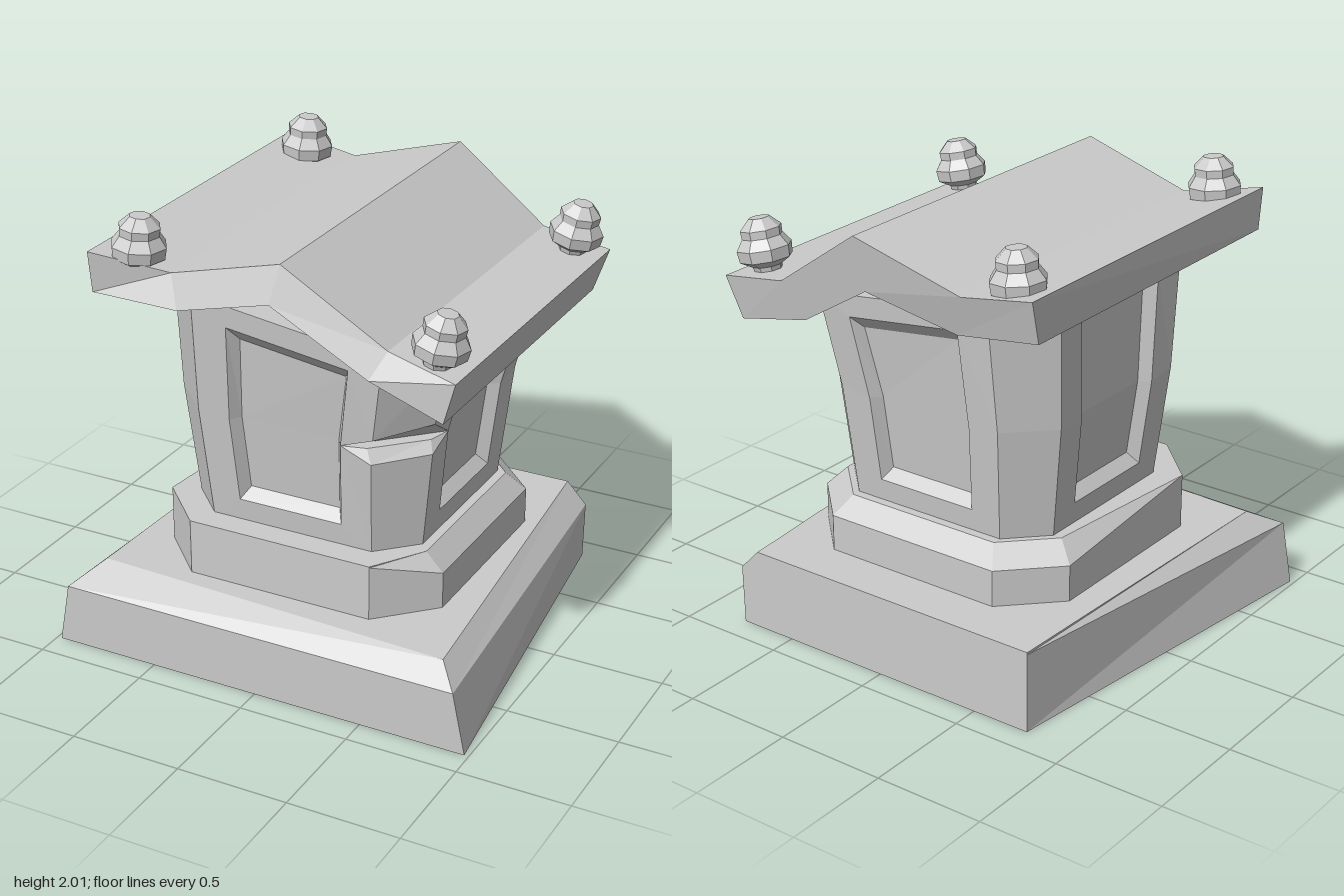
import * as THREE from 'three';

const material = new THREE.MeshStandardMaterial({ color: 0xcccccc, flatShading: true });

// Turns a list of convex polygons (corners counter-clockwise from outside) into a mesh
function polyMesh(name, polys) {
  const pos = [];
  for (const p of polys)
    for (let i = 1; i < p.length - 1; i++) pos.push(...p[0], ...p[i], ...p[i + 1]);
  const geo = new THREE.BufferGeometry();
  geo.setAttribute('position', new THREE.Float32BufferAttribute(pos, 3));
  geo.computeVertexNormals();
  const mesh = new THREE.Mesh(geo, material);
  mesh.name = name;
  return mesh;
}

// Quads joining two closed rings with the same number of points
const band = (a, b) => a.map((p, i) => {
  const j = (i + 1) % a.length;
  return [p, a[j], b[j], b[i]];
});

function loft(rings) {
  const polys = [[...rings[0]].reverse(), rings[rings.length - 1]];
  for (let i = 0; i < rings.length - 1; i++) polys.push(...band(rings[i], rings[i + 1]));
  return polys;
}

// Worn, wedge-shaped plinth
function makePlinth() {
  return polyMesh('plinth', loft([
    [[-0.98, 0, 0.88], [0.98, 0, 0.88], [0.77, 0, -0.88], [-0.77, 0, -0.88]],
    [[-0.925, 0.28, 0.885], [0.925, 0.28, 0.885], [0.775, 0.27, -0.88], [-0.77, 0.36, -0.88]],
    [[-0.82, 0.37, 0.73], [0.84, 0.37, 0.8], [0.68, 0.37, -0.88], [-0.77, 0.37, -0.88]],
  ]));
}

// Eight-sided step, its rim chamfered except along the front and one corner
function makeStep() {
  const a = 0.66, b = 0.43;
  const plan = [[-b, a], [b, a], [a, b], [a, -b], [b, -a], [-b, -a], [-a, -b], [-a, b]];
  const sharp = [0, 1, 7];
  return polyMesh('step', loft([
    plan.map(([x, z]) => [x, 0.37, z]),
    plan.map(([x, z], i) => [x, sharp.includes(i) ? 0.615 : 0.535, z]),
    plan.map(([x, z], i) => sharp.includes(i) ? [x, 0.62, z] : [x * 0.88, 0.62, z * (i === 2 ? 1 : 0.88)]),
  ]));
}

// Flared body with four recessed panels and a wedge broken out of one corner
function makeBody() {
  const polys = [];
  const shift = [0, 0, 0.04];
  const halfLength = [0.38, 0.41, 0.44];
  const topY = (x) => 1.62 - 0.13 * x;
  // Point on side f: x along the side, z outward; level 2 follows the sloping top
  const pt = (f, level, x, y, z) => {
    const c = Math.round(Math.cos(f * Math.PI / 2)), s = Math.round(Math.sin(f * Math.PI / 2));
    const wx = x * c + z * s + shift[level];
    return [wx, level === 2 ? topY(wx) + y : y, -x * s + z * c];
  };
  const order = [[0, -1], [0, 1], [1, 1], [2, 1], [2, -1], [1, -1]]; // level, side
  const outline = (f, k, ys, zs) =>
    order.map(([l, s]) => pt(f, l, s * k * halfLength[l], ys[l], zs[l]));

  // Broken corner: lower edge A-B, upper edge C-D, hinge P-Q
  const A = [0.40, 1.05, 0.588], B = [0.588, 1.06, 0.40];
  const A2 = [0.37, 1.11, 0.565], B2 = [0.565, 1.11, 0.37];
  const C = [0.415, 1.17, 0.603], D = [0.607, 1.21, 0.42];

  const sides = [0, 1, 2, 3].map((f) => {
    const low = outline(f, 1, [0.62, 1.13, 0], [0.54, 0.595, 0.65]);
    const high = [...low];
    if (f === 0) { low[2] = A; high[2] = C; }
    if (f === 1) { low[5] = B; high[5] = D; }
    const rim = outline(f, 0.64, [0.72, 1.11, -0.1], [0.551, 0.593, 0.64]);
    const panel = outline(f, 0.56, [0.77, 1.11, -0.16], [0.505, 0.543, 0.585]);
    return { low, high, rim, panel };
  });

  sides.forEach(({ low, high, rim, panel }, f) => {
    // Frame around the panel
    for (let i = 0; i < 6; i++) {
      const j = (i + 1) % 6, o = i >= 2 && i <= 4 ? high : low;
      polys.push([o[i], o[j], rim[j], rim[i]]);
    }
    // Recess walls and panel
    polys.push(...band(rim, panel));
    polys.push([panel[0], panel[1], panel[2], panel[5]], [panel[5], panel[2], panel[3], panel[4]]);
    // Corner post facet
    const n = sides[(f + 1) % 4];
    polys.push([low[1], n.low[0], n.low[5], low[2]], [high[2], n.high[5], n.high[4], high[3]]);
  });
  polys.push(sides.flatMap((s) => [s.high[4], s.high[3]]));

  // Broken surfaces
  const P = sides[0].rim[2], Q = sides[1].rim[5];
  polys.push([P, A, A2], [A, B, B2, A2], [B, Q, B2], [P, A2, B2, Q], [P, Q, D, C]);
  return polyMesh('body', polys);
}

// Crooked roof slab running front to back
function makeRoof() {
  const frontTop = [[-0.76, 1.86, 0.845], [-0.42, 1.8, 0.755], [0.1, 1.945, 0.785], [0.54, 1.64, 0.72], [0.86, 1.59, 0.78]];
  const frontLow = [[-0.76, 1.675, 0.82], [-0.36, 1.67, 0.82], [0.08, 1.79, 0.845], [0.49, 1.53, 0.79], [0.81, 1.41, 0.78]];
  const backTop = [[-0.765, 1.86, -0.85], [-0.42, 1.8, -0.845], [0.1, 1.945, -0.865], [0.54, 1.64, -0.81], [0.86, 1.59, -0.8]];
  const backLow = [[-0.76, 1.67, -0.8], [-0.36, 1.61, -0.79], [0.08, 1.7, -0.82], [0.44, 1.48, -0.78], [0.8, 1.4, -0.77]];
  const polys = band([...backLow, ...[...backTop].reverse()], [...frontLow, ...[...frontTop].reverse()]);
  for (let i = 0; i < 4; i++) {
    polys.push([frontLow[i], frontLow[i + 1], frontTop[i + 1], frontTop[i]]);
    polys.push([backLow[i + 1], backLow[i], backTop[i], backTop[i + 1]]);
  }
  return polyMesh('roof', polys);
}

// Faceted finial
function makeFinial(x, y, z, tilt) {
  const profile = [[0, 0], [0.06, 0], [0.065, 0.02], [0.115, 0.05], [0.12, 0.1], [0.088, 0.145], [0.09, 0.18], [0.045, 0.225], [0, 0.225]];
  const geo = new THREE.LatheGeometry(profile.map(([r, h]) => new THREE.Vector2(r, h)), 8);
  const mesh = new THREE.Mesh(geo, material);
  mesh.name = 'finial';
  mesh.position.set(x, y, z);
  mesh.rotation.set(0, 0.2, tilt, 'ZXY');
  return mesh;
}

export function createModel() {
  const group = new THREE.Group();
  group.name = 'shrine';
  group.add(makePlinth(), makeStep(), makeBody(), makeRoof());
  for (const s of [1, -1]) {
    group.add(makeFinial(-0.605, 1.778, s * 0.71, -0.08));
    group.add(makeFinial(0.73, 1.61, s * 0.675, -0.2));
  }
  return group;
}
